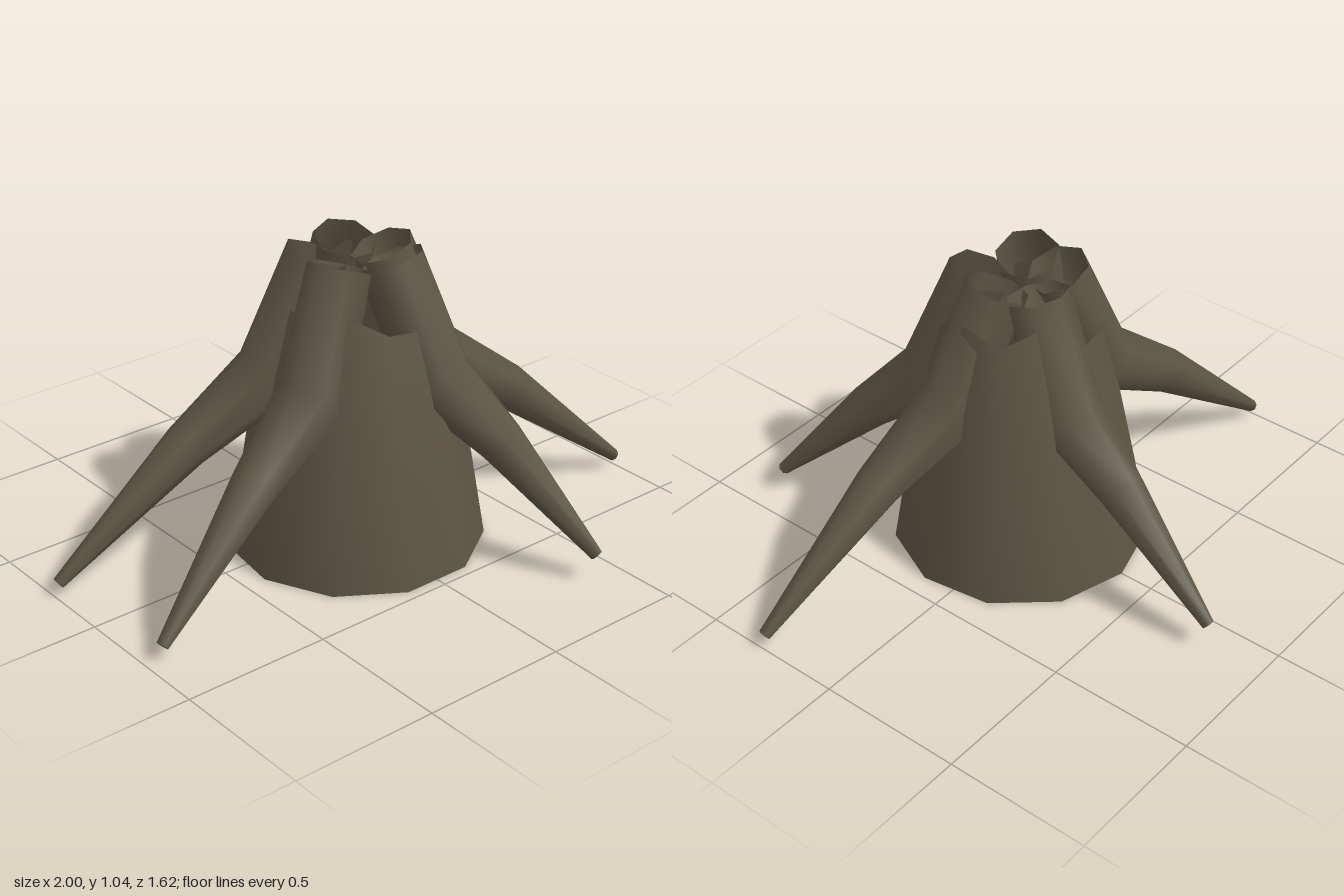
import * as THREE from 'three';

const bark = new THREE.MeshStandardMaterial({ color: 0x5c5543, side: THREE.DoubleSide });
bark.name = 'bark';

// Skins a list of closed rings (same point count) with smooth normals
function loft(name, rings, capLast) {
  const n = rings[0].length, pos = [], idx = [];
  rings.forEach(ring => ring.forEach(p => pos.push(p.x, p.y, p.z)));
  for (let r = 0; r < rings.length - 1; r++) {
    for (let i = 0; i < n; i++) {
      const a = r * n + i, b = r * n + (i + 1) % n;
      idx.push(a, b, a + n, b, b + n, a + n);
    }
  }
  if (capLast) {
    const start = pos.length / 3;
    rings[rings.length - 1].forEach(p => pos.push(p.x, p.y, p.z));
    for (let i = 1; i < n - 1; i++) idx.push(start, start + i, start + i + 1);
  }
  const geo = new THREE.BufferGeometry();
  geo.setAttribute('position', new THREE.Float32BufferAttribute(pos, 3));
  geo.setIndex(idx);
  geo.computeVertexNormals();
  const mesh = new THREE.Mesh(geo, bark);
  mesh.name = name;
  return mesh;
}

// Hollow eleven-sided trunk with a ragged top edge
function makeTrunk() {
  const rim = [0.8, 0.85, 0.92, 0.88, 0.95, 0.84, 0.82, 0.85, 0.87, 0.89, 0.82];
  const levels = [[0, 0.43], [0.3, 0.38], [0.6, 0.32], [null, 0.25]];
  const rings = levels.map(([y, r]) => rim.map((h, i) => {
    const a = (i + 0.5) / rim.length * Math.PI * 2;
    const radius = y === null ? r + (0.88 - h) * 0.22 : r;
    return new THREE.Vector3(Math.sin(a) * radius, y ?? h, 0.05 + Math.cos(a) * radius);
  }));
  return loft('trunk', rings, false);
}

// Tapered root: open at the top, bent at the shoulder, blunt at the tip
function makeRoot(name, points) {
  const radii = [0.105, 0.118, 0.078, 0.021], sides = 7;
  const path = points.map(p => new THREE.Vector3(...p));
  const outward = path[3].clone().sub(path[0]).setY(0).normalize();
  const side = new THREE.Vector3(0, 1, 0).cross(outward).normalize();
  const rings = path.map((p, k) => {
    const before = path[Math.max(k - 1, 0)], after = path[Math.min(k + 1, 3)];
    const dir = after.clone().sub(before).normalize();
    const u = side.clone().addScaledVector(dir, -side.dot(dir)).normalize();
    const v = dir.clone().cross(u);
    return Array.from({ length: sides }, (_, i) => {
      const a = i / sides * Math.PI * 2 + Math.PI / 2;
      return p.clone().addScaledVector(u, Math.cos(a) * radii[k])
        .addScaledVector(v, Math.sin(a) * radii[k]);
    });
  });
  return loft(name, rings, true);
}

export function createModel() {
  const group = new THREE.Group();
  group.name = 'rootedStump';
  group.add(makeTrunk());

  // Each path runs from the top through shoulder and knee to the tip
  const roots = {
    frontRoot: [[0.06, 1.0, 0.16], [0.14, 0.61, 0.29], [0.24, 0.43, 0.49], [0.385, 0.095, 0.79]],
    leftRoot: [[0.1, 1.0, 0.06], [0.24, 0.61, 0.12], [0.54, 0.42, 0.19], [0.985, 0.045, 0.29]],
    backRoot: [[0.05, 1.0, -0.06], [0.06, 0.61, -0.19], [0.08, 0.43, -0.42], [0.11, 0.095, -0.8]],
    rightBackRoot: [[-0.1, 1.0, -0.02], [-0.25, 0.61, -0.08], [-0.54, 0.42, -0.14], [-0.985, 0.045, -0.225]],
    rightFrontRoot: [[-0.11, 1.0, 0.11], [-0.25, 0.61, 0.15], [-0.53, 0.42, 0.21], [-0.945, 0.055, 0.29]],
  };
  for (const [name, points] of Object.entries(roots)) group.add(makeRoot(name, points));
  return group;
}
